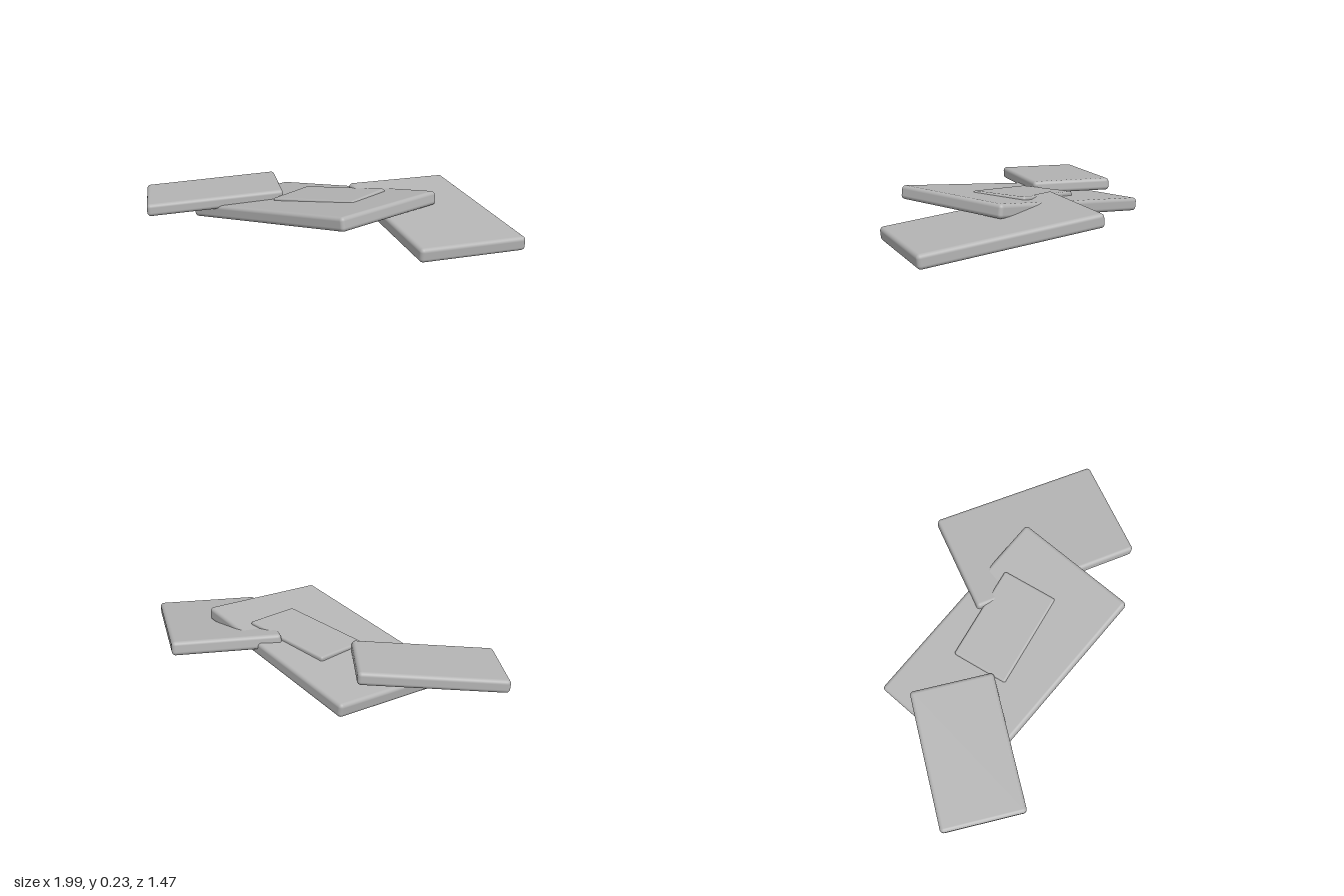
import * as THREE from 'three';
import { RoundedBoxGeometry } from 'three/addons/geometries/RoundedBoxGeometry.js';

const stone = new THREE.MeshStandardMaterial({ color: 0xb4b4b4 });
stone.name = 'stone grey';

// Softly rounded slab, tilted along its length and then turned about the vertical (degrees)
function slab(name, [length, thickness, width], [x, y, z], yaw, tilt, radius = 0.02) {
  const mesh = new THREE.Mesh(new RoundedBoxGeometry(length, thickness, width, 4, radius), stone);
  mesh.name = name;
  mesh.position.set(x, y, z);
  mesh.rotation.order = 'YZX';
  mesh.rotation.set(0, THREE.MathUtils.degToRad(yaw), THREE.MathUtils.degToRad(tilt));
  return mesh;
}

export function createModel() {
  const model = new THREE.Group();
  model.name = 'overlappingSlabs';
  model.add(
    // large middle slab, rising to the left
    slab('middleSlab', [1.175, 0.072, 0.7], [-0.1, 0.119, 0.028], 5.2, 8.1),
    // back slab, sloping down to the left
    slab('backLeftSlab', [0.94, 0.072, 0.565], [0.465, 0.122, -0.322], -19.4, -5.8),
    // front slab, rising toward the middle
    slab('frontRightSlab', [0.74, 0.067, 0.447], [-0.627, 0.118, 0.308], 60.1, 4),
    // small slab set into the top of the middle one
    slab('topSlab', [0.522, 0.05, 0.313], [-0.03, 0.156, -0.042], 15.1, 7.2, 0.012),
  );
  return model;
}
